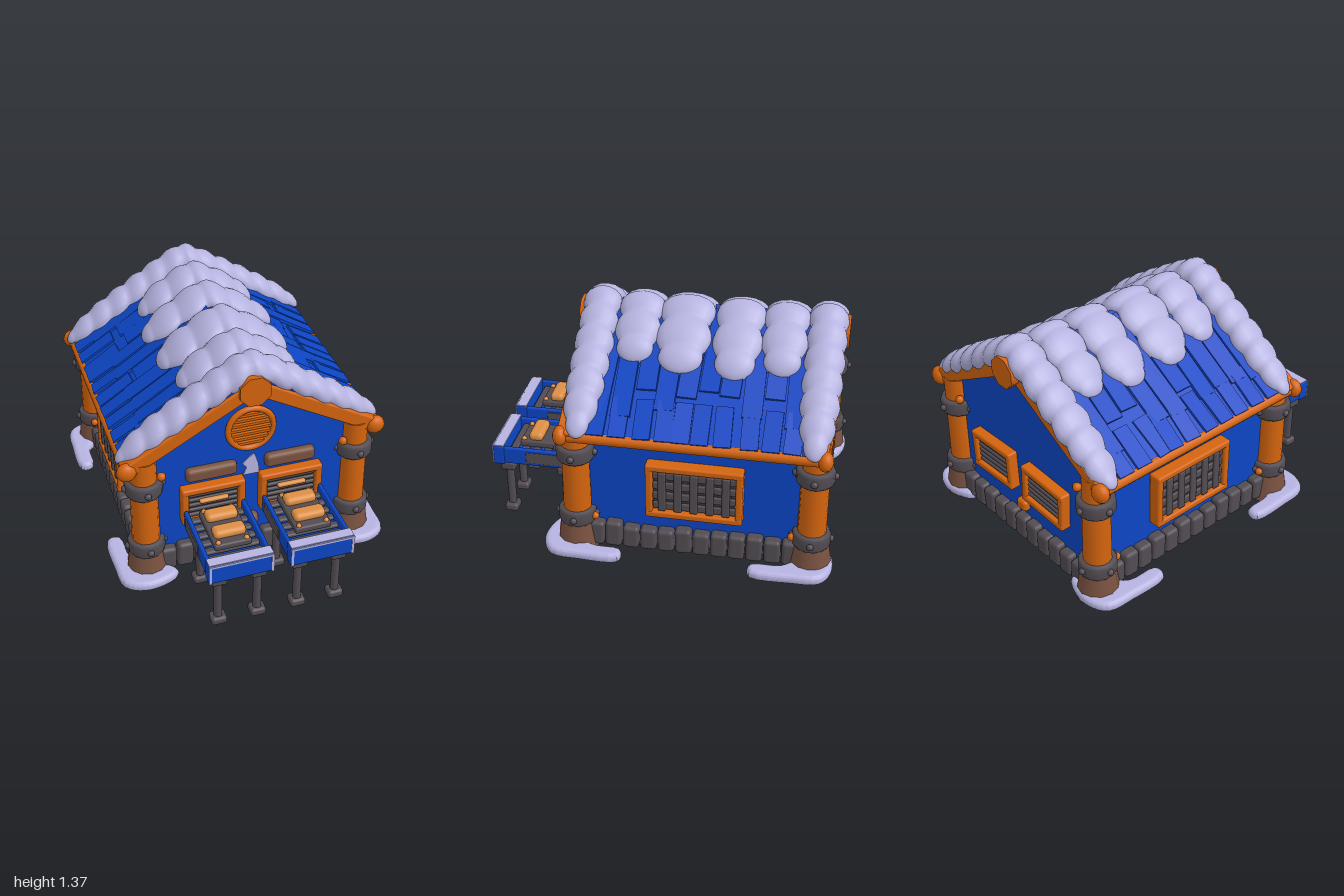
import * as THREE from 'three';
import { mergeVertices } from 'three/addons/utils/BufferGeometryUtils.js';
import { RoundedBoxGeometry } from 'three/addons/geometries/RoundedBoxGeometry.js';

const material = (name, color) => Object.assign(new THREE.MeshStandardMaterial({ color }), { name });
const blue = material('blue paint', 0x0c45c4);
const orange = material('orange timber', 0xd4640e);
const snow = material('snow', 0xb6b4e0);
const iron = material('dark stone and iron', 0x524c52);
const brown = material('brown wood', 0x7a5240);
const tan = material('tan cushion', 0xdd8f45);
const dark = material('dark underside', 0x3a363b);

const MID = -0.22;                        // middle of the house along z
const SLOPE = 0.63;                       // roof fall per unit of x
const ANGLE = Math.atan(SLOPE);

let seed = 7;
const rand = () => (seed = (seed * 16807) % 2147483647) / 2147483647;

function add(parent, name, geo, mat, x = 0, y = 0, z = 0) {
  const mesh = new THREE.Mesh(geo, mat);
  mesh.name = name;
  mesh.position.set(x, y, z);
  parent.add(mesh);
  return mesh;
}
function group(parent, name, x = 0, y = 0, z = 0) {
  const g = new THREE.Group();
  g.name = name;
  g.position.set(x, y, z);
  parent.add(g);
  return g;
}
const box = (w, h, d) => new THREE.BoxGeometry(w, h, d);
const soft = (w, h, d, r = 0.012) => new RoundedBoxGeometry(w, h, d, 2, Math.min(r, w / 2.1, h / 2.1, d / 2.1));
const cyl = (r1, r2, h, n = 12) => new THREE.CylinderGeometry(r1, r2, h, n);
const rod = (r, len, n = 12) => cyl(r, r, len, n).rotateX(Math.PI / 2);
const ball = (r) => new THREE.SphereGeometry(r, 10, 8);

// Lumpy roll of snow lying across the roof ridge
function snowRoll(halfWidth, depth, height, lumps) {
  const geo = new THREE.CylinderGeometry(1, 1, 1, 16, 110, true);
  const p = geo.attributes.position;
  for (let i = 0; i < p.count; i++) {
    const s = Math.sin(Math.PI * p.getY(i));
    const round = Math.sqrt(Math.max(0, 1 - s ** 6));
    const bump = 0.84 + 0.2 * Math.abs(Math.sin(s * lumps * Math.PI / 2 + 0.6));
    const r = round * bump;
    const x = s * halfWidth;
    const y = 1.312 - SLOPE * Math.hypot(x, 0.05);
    p.setXYZ(i, x, y - p.getX(i) * height * r, p.getZ(i) * depth / 2 * r);
  }
  geo.deleteAttribute('uv');
  geo.deleteAttribute('normal');
  const merged = mergeVertices(geo);
  merged.computeVertexNormals();
  return merged;
}

// Framed opening facing +z, with slats or a lattice
function framedWindow(parent, name, w, h, lattice) {
  const g = group(parent, name);
  const t = 0.04;
  for (const s of [-1, 1]) {
    add(g, 'frameRail', soft(w, t, 0.08), orange, 0, s * (h - t) / 2, 0.01);
    add(g, 'framePost', soft(t, h - t, 0.075), orange, s * (w - t) / 2, 0, 0.01);
  }
  add(g, 'windowBack', box(w - t, h - t, 0.02), dark, 0, 0, 0.002);
  const rows = lattice ? 4 : 5, step = (h - 2 * t) / rows;
  for (let i = 0; i < rows; i++)
    add(g, 'slat', soft(w - 2 * t, step * 0.72, 0.02), iron, 0, (i - (rows - 1) / 2) * step, 0.022);
  if (lattice) for (let i = -2; i <= 2; i++)
    add(g, 'latticeBar', soft(0.045, h - 2.2 * t, 0.02), iron, i * (w - 2 * t) / 5.2, 0, 0.034);
  return g;
}

// Counter with side boards, slats, two cushions and four legs
function counter(parent, x) {
  const g = group(parent, 'counter', x, 0, 0);
  add(g, 'trayFloor', box(0.35, 0.025, 0.46), blue, 0, 0.395, 0.74);
  for (const s of [-1, 1]) {
    add(g, 'traySide', soft(0.025, 0.11, 0.46), blue, s * 0.168, 0.42, 0.74);
    add(g, 'sidePlate', soft(0.012, 0.07, 0.24, 0.005), iron, s * 0.181, 0.42, 0.68);
    add(g, 'frontSnowEdge', box(0.015, 0.12, 0.006), snow, s * 0.175, 0.42, 0.999);
  }
  add(g, 'trayFront', soft(0.37, 0.125, 0.07), blue, 0, 0.42, 0.964);
  add(g, 'trayFrontSnow', box(0.36, 0.008, 0.06), snow, 0, 0.481, 0.963);
  add(g, 'frontSnowEdge', box(0.36, 0.012, 0.006), snow, 0, 0.474, 0.999);
  for (let i = 0; i < 6; i++)
    add(g, 'traySlat', soft(0.31, 0.025, 0.045), iron, 0, 0.43, 0.56 + i * 0.066);
  add(g, 'cushionBoard', soft(0.21, 0.04, 0.31), iron, 0, 0.465, 0.7);
  for (const z of [0.625, 0.765]) {
    add(g, 'cushion', soft(0.185, 0.055, 0.085, 0.026), tan, 0, 0.502, z);
  }
  for (const s of [-1, 1]) for (const z of [0.565, 0.835])
    add(g, 'boardStud', ball(0.015), tan, s * 0.08, 0.487, z);
  for (const s of [-1, 1]) for (const z of [0.585, 0.925]) {
    const leg = group(g, 'counterLeg', s * 0.113, 0, z);
    add(leg, 'legPost', cyl(0.025, 0.025, 0.3, 8), iron, 0, 0.18, 0);
    add(leg, 'legTop', soft(0.085, 0.05, 0.085), iron, 0, 0.325, 0);
    add(leg, 'legFoot', soft(0.09, 0.05, 0.08, 0.018), iron, 0, 0.028, 0);
  }
}

function cornerPost(parent, sx, sz) {
  const g = group(parent, 'cornerPost', sx * 0.62, 0, MID + sz * 0.66);
  add(g, 'post', cyl(0.075, 0.082, 0.75, 14), orange, 0, 0.46, 0);
  add(g, 'postFoot', cyl(0.098, 0.125, 0.18, 12), brown, 0, 0.125, 0);
  for (const y of [0.245, 0.655]) {
    add(g, 'ironBand', new THREE.LatheGeometry([[0.07, -0.045], [0.098, -0.045], [0.107, -0.03], [0.107, 0.03],
      [0.098, 0.045], [0.07, 0.045]].map(p => new THREE.Vector2(...p)), 14), iron, 0, y, 0);
    for (let i = 0; i < 4; i++)
      add(g, 'bandBolt', ball(0.02), iron, Math.sin(i * Math.PI / 2) * 0.106, y, Math.cos(i * Math.PI / 2) * 0.106);
  }
  add(g, 'postPeg', ball(0.025), orange, -sx * 0.09, 0.73, sz * 0.05);
  add(g, 'postPeg', ball(0.022), orange, sx * 0.03, 0.245, -sz * 0.108);
  // drift of snow around the foot
  const outline = [[0.5, 0.74], [0.58, 0.78], [0.68, 0.785], [0.76, 0.74], [0.775, 0.6], [0.77, 0.39],
    [0.745, 0.39], [0.73, 0.55], [0.62, 0.66], [0.54, 0.7]];
  const curve = new THREE.CatmullRomCurve3(outline.map(([x, z]) => new THREE.Vector3(sx * x, sz * z, 0)), true);
  const shape = new THREE.Shape(curve.getPoints(40).slice(0, -1).map(p => new THREE.Vector2(p.x, p.y)));
  const drift = new THREE.ExtrudeGeometry(shape, { depth: 0.01, bevelThickness: 0.027, bevelSize: 0.03, bevelSegments: 4 });
  add(parent, 'snowDrift', drift.rotateX(Math.PI / 2), snow, 0, 0.07, -0.19);
}

// Slab with loose planks, running down local x
function roofSide(parent, turn) {
  const pivot = group(parent, 'roofSide', 0, 1.28, MID);
  pivot.rotation.y = turn;
  const g = group(pivot, 'roofSlope');
  g.rotation.z = -ANGLE;
  add(g, 'roofSlab', box(0.863, 0.04, 1.42), blue, 0.43, -0.02, 0);
  for (let i = 0; i < 12; i++) {
    const z = (i - 5.5) * 0.117, len = 0.5 + rand() * 0.2;
    const long = add(g, 'roofPlank', box(len, 0.022, 0.108), blue, 0.03 + len / 2, 0.008, z);
    long.rotation.set((rand() - 0.5) * 0.12, (rand() - 0.5) * 0.06, -0.012);
    const short = add(g, 'roofTile', box(0.24, 0.016, 0.095), blue, 0.735, 0.006, z + (rand() - 0.5) * 0.04);
    short.rotation.set((rand() - 0.5) * 0.12, (rand() - 0.5) * 0.12, 0);
  }
}

export function createModel() {
  const model = new THREE.Group();
  model.name = 'snowyCabin';

  // Walls and floor
  const gable = new THREE.Shape([[-0.61, 0.07], [0.61, 0.07], [0.61, 0.85], [0, 1.235], [-0.61, 0.85]]
    .map(p => new THREE.Vector2(...p)));
  add(model, 'walls', new THREE.ExtrudeGeometry(gable, { depth: 1.34, bevelEnabled: false }), blue, 0, 0, MID - 0.67);
  add(model, 'floor', box(1.24, 0.03, 1.36), dark, 0, 0.06, MID);

  // Foundation stones
  for (const s of [-1, 1]) {
    for (let i = 0; i < 11; i++) {
      const h = 0.135 + rand() * 0.025;
      add(model, 'foundationStone', soft(0.096, h, 0.1, 0.022), iron, (i - 5) * 0.101, 0.055 + h / 2, MID + s * 0.675)
        .rotation.z = (rand() - 0.5) * 0.1;
    }
    for (let i = 0; i < 12; i++) {
      const h = 0.135 + rand() * 0.025;
      add(model, 'foundationStone', soft(0.1, h, 0.094, 0.022), iron, s * 0.62, 0.055 + h / 2, MID + (i - 5.5) * 0.1)
        .rotation.x = (rand() - 0.5) * 0.1;
    }
  }

  // Corner posts, eave logs, gable beams and ridge log
  for (const sx of [-1, 1]) {
    for (const sz of [-1, 1]) {
      cornerPost(model, sx, sz);
      add(model, 'eaveLogEnd', new THREE.SphereGeometry(0.056, 14, 10).scale(1, 1, 0.75), orange, sx * 0.72, 0.805, MID + sz * 0.71);
      const beam = add(model, 'gableBeam', soft(0.85, 0.085, 0.09), orange, sx * 0.36, 1.005, MID + sz * 0.68);
      beam.rotation.z = -sx * Math.atan(0.56);
    }
    add(model, 'eaveLog', rod(0.032, 1.4, 10), orange, sx * 0.715, 0.8, MID);
  }
  add(model, 'ridgeLog', rod(0.07, 1.4, 8), orange, 0, 1.19, MID);
  for (const z of [0.495, -0.955])
    add(model, 'ridgeLogEnd', rod(0.093, 0.07, 8).rotateZ(Math.PI / 8), orange, -0.008, 1.2, z);

  // Roof and snow rolls: z, half width, depth, height, lumps
  roofSide(model, 0);
  roofSide(model, Math.PI);
  for (const [z, hw, d, h, n] of [[0.4, 0.76, 0.215, 0.09, 13], [-0.87, 0.76, 0.215, 0.09, 13],
    [0.17, 0.345, 0.25, 0.075, 5], [-0.09, 0.385, 0.3, 0.075, 5],
    [-0.39, 0.395, 0.27, 0.075, 5], [-0.645, 0.355, 0.25, 0.075, 5]])
    add(model, 'roofSnow', snowRoll(hw, d, h, n), snow, 0, 0, z);

  // Front and back windows, counters and wooden plaques
  for (const s of [-1, 1]) {
    const x = s * 0.23 - 0.005;
    framedWindow(model, 'frontWindow', 0.37, 0.25, false).position.set(x, 0.48, 0.46);
    add(model, 'windowSill', soft(0.17, 0.025, 0.03), tan, x, 0.51, 0.5);
    counter(model, x);
    add(model, 'plaque', soft(0.295, 0.085, 0.06, 0.025), brown, x - 0.005, 0.682, 0.465);
    const back = framedWindow(model, 'backWindow', 0.36, 0.24, false);
    back.position.set(s * 0.23, 0.48, -0.9);
    back.rotation.set(0, Math.PI, s * 0.04);
    const side = framedWindow(model, 'sideWindow', 0.54, 0.34, true);
    side.position.set(s * 0.635, 0.47, -0.23);
    side.rotation.y = s * Math.PI / 2;
  }

  // Round vent
  const vent = group(model, 'roundVent', -0.01, 0.92, 0.46);
  add(vent, 'ventRing', new THREE.TorusGeometry(0.13, 0.018, 8, 32), orange);
  for (let i = -3; i <= 3; i++) {
    const y = i * 0.031;
    add(vent, 'ventSlat', box(2 * Math.sqrt(0.0165 - y * y), 0.016, 0.02), orange, 0, y, 0);
  }

  // Snow patch and knots on the walls
  const patch = new THREE.Shape([[-0.05, 0.6], [0.045, 0.6], [0.04, 0.66], [0.015, 0.74], [-0.015, 0.72], [-0.055, 0.68], [-0.03, 0.65]]
    .map(p => new THREE.Vector2(...p)));
  add(model, 'snowPatch', new THREE.ExtrudeGeometry(patch, { depth: 0.008, bevelEnabled: false }), snow, 0, 0, 0.45);
  add(model, 'frontKnot', ball(0.047), brown, -0.003, 0.28, 0.46);
  add(model, 'frontKnotChip', ball(0.026), tan, -0.015, 0.295, 0.487);
  add(model, 'backKnot', soft(0.08, 0.07, 0.06, 0.02), orange, 0, 0.28, -0.9);
  return model;
}
